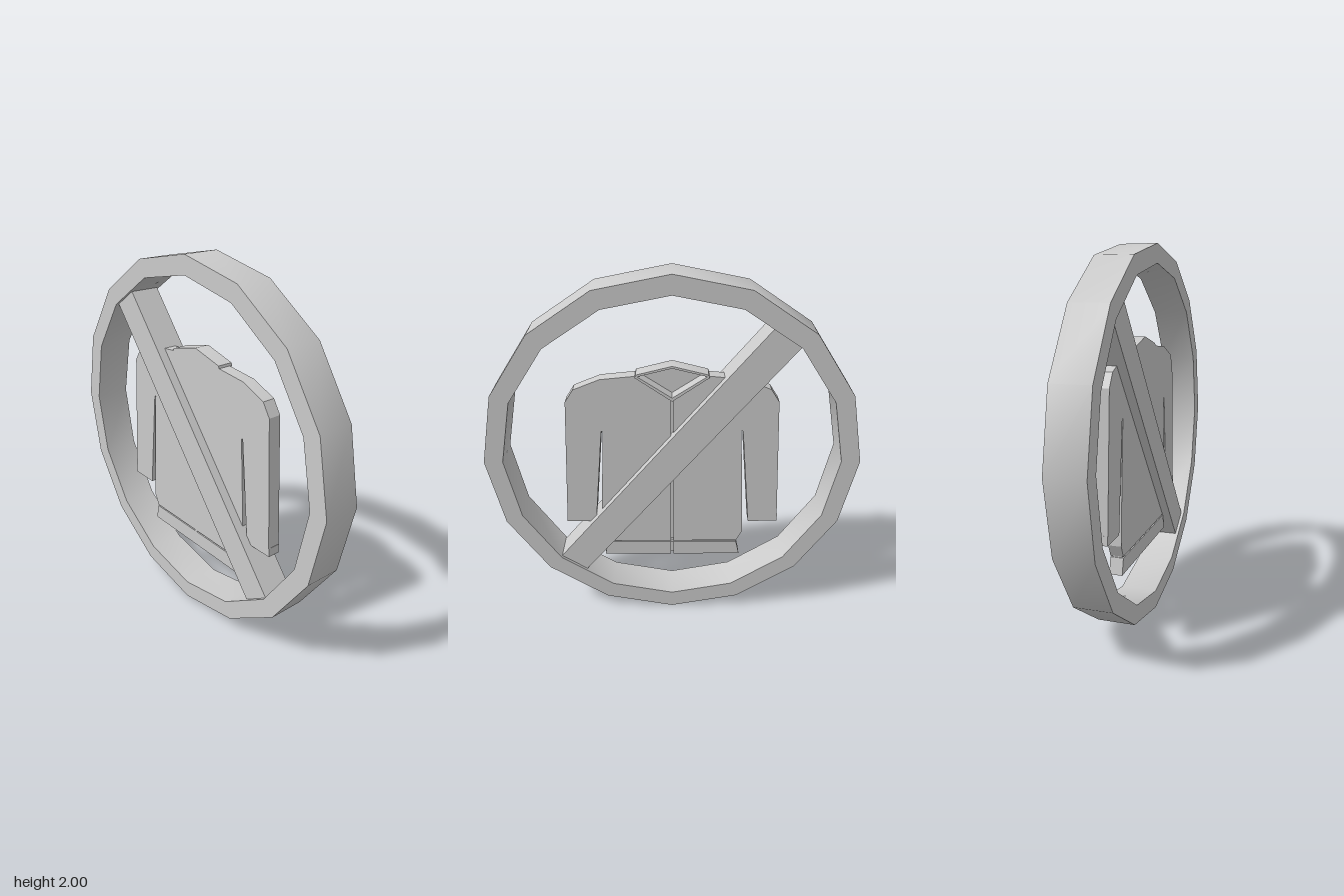
import * as THREE from 'three';
import { toCreasedNormals } from 'three/addons/utils/BufferGeometryUtils.js';

const material = new THREE.MeshStandardMaterial({ color: 0xcccccc });

// Flat plate whose outline lies in the (-z, y) plane, spanning x0..x1.
function plate(name, points, x0, x1, hole) {
  const shape = new THREE.Shape(points.map(([s, y]) => new THREE.Vector2(s, y)));
  if (hole) shape.holes.push(new THREE.Path(hole.map(([s, y]) => new THREE.Vector2(s, y))));
  const geometry = new THREE.ExtrudeGeometry(shape, { depth: x1 - x0, bevelEnabled: false });
  geometry.translate(0, 0, x0);
  geometry.rotateY(Math.PI / 2);
  const mesh = new THREE.Mesh(toCreasedNormals(geometry, 0.5), material);
  mesh.name = name;
  return mesh;
}

const mirror = (points) => points.map(([s, y]) => [-s, y]).reverse();

function polygon(radius, sides) {
  return Array.from({ length: sides }, (_, i) => {
    const a = (i / sides) * Math.PI * 2;
    return [radius * Math.cos(a), 1 + radius * Math.sin(a)];
  });
}

export function createModel() {
  const group = new THREE.Group();
  group.name = 'noJacketSign';

  // Sixteen-sided ring and the diagonal bar fitted inside it
  group.add(plate('ring', polygon(1, 16), -0.1, 0.1, polygon(0.9, 16)));
  group.add(plate('diagonalBar',
    [[0.636, 1.636], [0.495, 1.731], [-0.636, 0.364], [-0.495, 0.269]], -0.083, 0.083));

  const jacket = new THREE.Group();
  jacket.name = 'jacket';
  group.add(jacket);
  const t = 0.035;

  // Half of the body with its sleeve, the cuff and the hem band
  const bodyHalf = [
    [0.007, 0.435], [0.37, 0.435], [0.402, 0.5], [0.385, 0.85], [0.367, 1.15],
    [0.376, 1.15], [0.427, 0.62], [0.593, 0.62], [0.555, 1.32], [0.51, 1.39],
    [0.37, 1.447], [0.19, 1.465], [0.007, 1.335],
  ];
  const cuff = [[0.432, 0.572], [0.597, 0.572], [0.594, 0.62], [0.427, 0.62]];
  const hem = [[0.007, 0.34], [0.39, 0.34], [0.37, 0.427], [0.007, 0.427]];
  for (const [side, place] of [['right', (p) => p], ['left', mirror]]) {
    jacket.add(plate(side + 'Body', place(bodyHalf), -t, t));
    jacket.add(plate(side + 'Cuff', place(cuff), -t, t));
    jacket.add(plate(side + 'Hem', place(hem), -t, t));
  }

  // Recessed strips closing the front gap and the hem seam
  jacket.add(plate('zipper', [[-0.01, 0.34], [0.01, 0.34], [0.01, 1.34], [-0.01, 1.34]], -t, 0.015));
  jacket.add(plate('hemSeam', [[-0.365, 0.42], [0.365, 0.42], [0.365, 0.44], [-0.365, 0.44]], -0.027, 0.027));

  // Collar frame around a recessed neck panel
  const collar = [[0, 1.33], [0.19, 1.462], [0.185, 1.478], [0, 1.525], [-0.185, 1.478], [-0.19, 1.462]];
  const opening = [[0, 1.35], [0.178, 1.468], [0, 1.513], [-0.178, 1.468]];
  jacket.add(plate('collar', collar, -t, 0.05, opening));
  jacket.add(plate('neckPanel', opening, -t, -0.02));

  return group;
}
